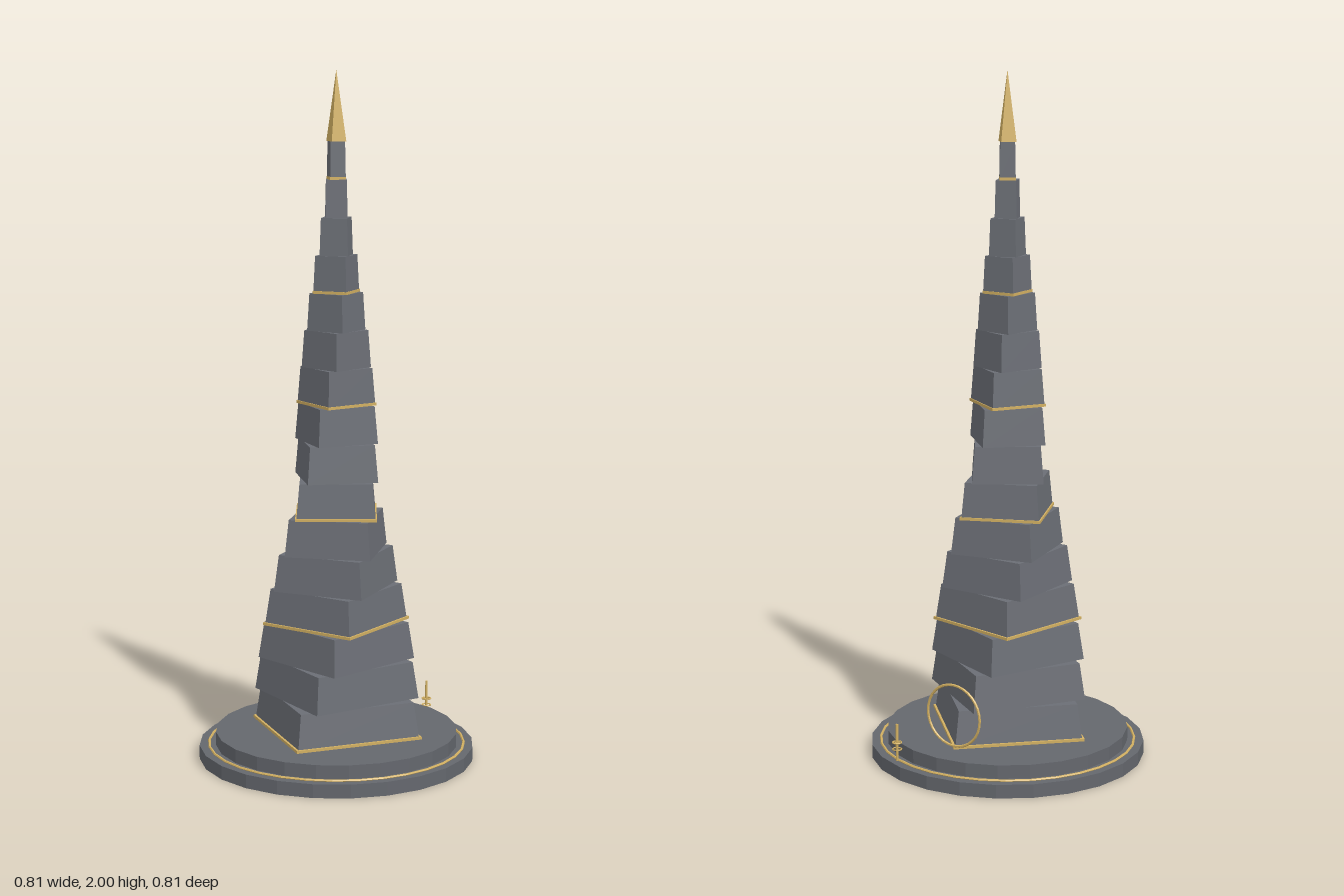
import * as THREE from 'three';

const mat = (name, color) => {
  const m = new THREE.MeshStandardMaterial({ color, flatShading: true });
  m.name = name;
  return m;
};

export function createModel() {
  const model = new THREE.Group();
  model.name = 'twistedTower';
  const stone = mat('slate stone', 0x6b6e75);
  const baseStone = mat('dark base stone', 0x64676d);
  const gold = mat('gold', 0xd2b062);

  const add = (name, geometry, material, x, y, z) => {
    const mesh = new THREE.Mesh(geometry, material);
    mesh.name = name;
    mesh.position.set(x, y, z);
    model.add(mesh);
    return mesh;
  };
  const prism = (name, top, bottom, y0, y1, sides, material, x = 0, z = 0) =>
    add(name, new THREE.CylinderGeometry(top, bottom, y1 - y0, sides), material, x, (y0 + y1) / 2, z);
  const flatRing = (name, radius, tube, segments, x, y, z) => {
    const ring = add(name, new THREE.TorusGeometry(radius, tube, 6, segments), gold, x, y, z);
    ring.rotation.x = Math.PI / 2;
    return ring;
  };

  // Stepped round base with a gold rim
  prism('lowerBase', 0.403, 0.403, 0, 0.04, 24, baseStone);
  prism('upperBase', 0.355, 0.355, 0.04, 0.08, 24, baseStone);
  flatRing('baseRim', 0.375, 0.004, 32, 0, 0.042, 0);

  // Twisting square storeys, each third one edged with gold
  const floors = 16, y0 = 0.08, step = 1.72 / floors, twist = 0.2;
  const radiusAt = (i) => {
    const u = i / 15;
    return 0.264 - 0.232 * u - 0.044 * u * (1 - u);
  };
  for (let i = 0; i < floors; i++) {
    const r = radiusAt(i), y = y0 + i * step;
    const top = Math.max(radiusAt(i + 1), r * 0.92);
    prism('storey', top, r, y, y + step, 4, stone).rotation.y = i * twist;
    if (i % 3 === 0) {
      prism('goldBand', r * 1.03, r * 1.03, y, y + 0.008, 4, gold).rotation.y = i * twist;
    }
  }

  // Gold pyramid at the top
  prism('spire', 0, 0.031, 1.8, 2, 4, gold);

  // Upright ring behind the tower
  add('portalRing', new THREE.TorusGeometry(0.091, 0.004, 6, 32), gold, 0, 0.182, -0.271);

  // Small post with ringed crossbars on the base edge
  const px = 0.145, pz = -0.349;
  prism('post', 0.004, 0.004, 0.04, 0.15, 8, gold, px, pz);
  for (const y of [0.075, 0.095]) flatRing('postRing', 0.013, 0.002, 16, px, y, pz);
  for (const angle of [0, Math.PI / 2]) {
    add('postCrossbar', new THREE.BoxGeometry(0.026, 0.003, 0.003), gold, px, 0.095, pz).rotation.y = angle;
  }

  return model;
}
